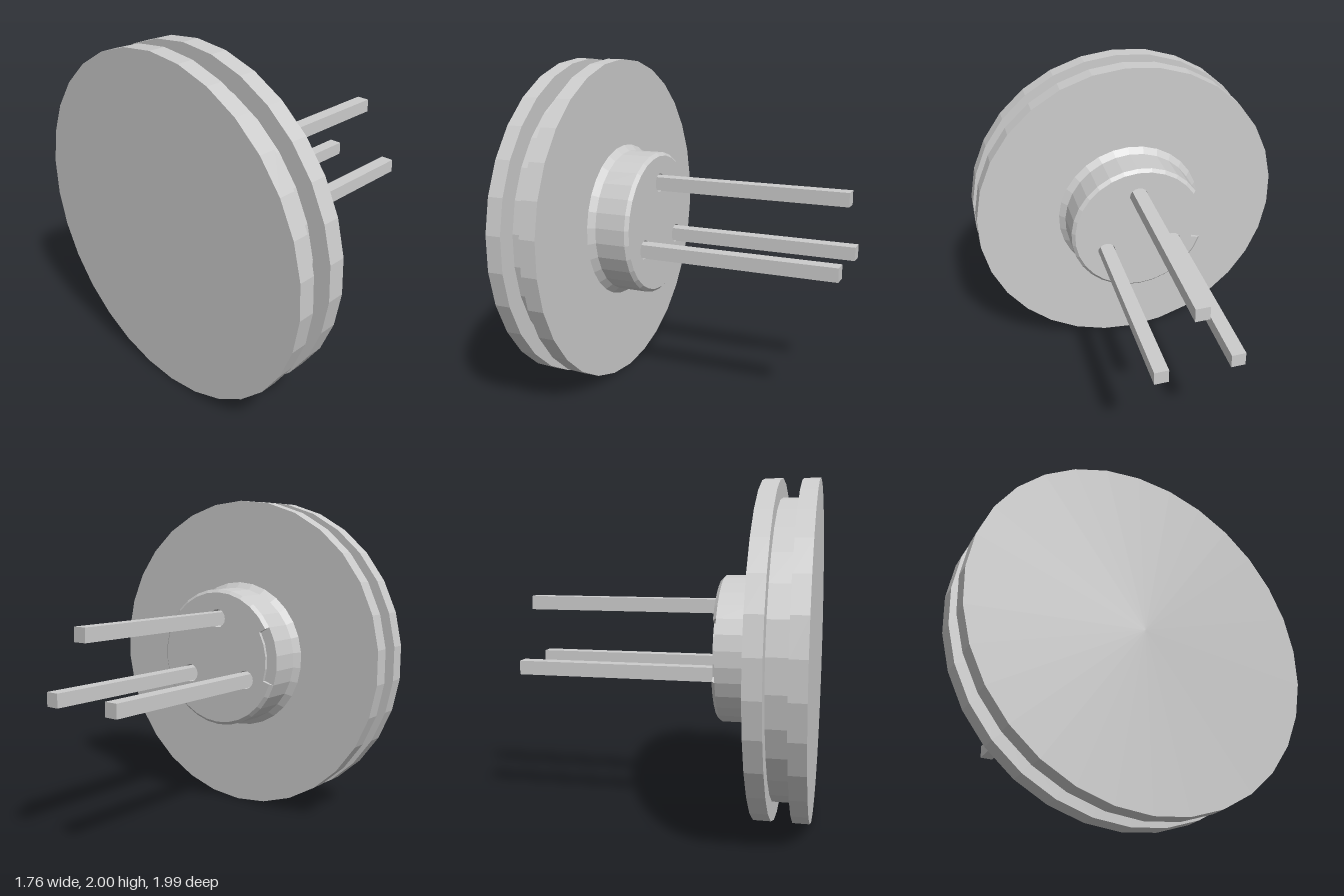
import * as THREE from 'three';

const SIDES = 30;
const STEP = (Math.PI * 2) / SIDES;
const AXIS_Y = 1;
const FACE_X = -0.325, RIM_X = -0.345, FLOOR_X = -0.4;
const KEY_R = 0.37;

const grey = new THREE.MeshStandardMaterial({ color: 0xcccccc, flatShading: true });
const greyDouble = new THREE.MeshStandardMaterial({ color: 0xcccccc, flatShading: true, side: THREE.DoubleSide });

// Pins: height above the axis, depth, end position
const PINS = [
  { y: 0.255, z: 0, end: 0.873 },
  { y: -0.12, z: 0.22, end: 0.88 },
  { y: -0.12, z: -0.22, end: 0.872 },
];

function addMesh(parent, name, geometry, material = grey) {
  const mesh = new THREE.Mesh(geometry, material);
  mesh.name = name;
  parent.add(mesh);
  return mesh;
}

// Revolves [x, radius] pairs around the x axis
function turned(profile, segments = SIDES, start = Math.PI / 2, length = Math.PI * 2) {
  const points = profile.map(([x, r]) => new THREE.Vector2(r, x));
  return new THREE.LatheGeometry(points, segments, start, length).rotateZ(-Math.PI / 2);
}

// Regular polygon outline
function polygon(radius, sides, cx = 0, cy = 0) {
  return Array.from({ length: sides }, (_, i) => {
    const a = Math.PI / 2 + (i * Math.PI * 2) / sides;
    return new THREE.Vector2(cx + radius * Math.cos(a), cy + radius * Math.sin(a));
  });
}

export function createModel() {
  const model = new THREE.Group();
  model.name = 'threePinConnector';
  const body = new THREE.Group();
  body.name = 'body';
  body.position.y = AXIS_Y;
  model.add(body);

  // Grooved disc
  addMesh(body, 'groovedDisc', turned([
    [-0.885, 0], [-0.885, 1], [-0.79, 1], [-0.79, 0.89],
    [-0.67, 0.89], [-0.67, 1], [-0.57, 1], [-0.57, 0],
  ]));

  // Hub with sloping foot, open in the middle for the pin face
  addMesh(body, 'hub', turned([
    [-0.57, 0.475], [-0.535, 0.44], [RIM_X, 0.44],
    [RIM_X, KEY_R], [FLOOR_X, KEY_R], [FLOOR_X, 0],
  ]));

  // Bevelled rim, interrupted by the key notch on the back
  const rimStart = (210 * Math.PI) / 180;
  const rimSegments = SIDES - 4;
  addMesh(body, 'bevelledRim', turned(
    [[RIM_X, 0.44], [FACE_X, 0.42], [FACE_X, KEY_R]],
    rimSegments, rimStart, rimSegments * STEP));

  // Side walls of the key notch
  for (const angle of [rimStart, rimStart + rimSegments * STEP]) {
    const wall = new THREE.Shape([
      new THREE.Vector2(RIM_X, KEY_R), new THREE.Vector2(RIM_X, 0.44),
      new THREE.Vector2(FACE_X, 0.42), new THREE.Vector2(FACE_X, KEY_R),
    ]);
    const geometry = new THREE.ShapeGeometry(wall);
    // Swing the radial direction from +y to (-sin, cos) in the y-z plane
    geometry.rotateX(Math.atan2(Math.cos(angle), -Math.sin(angle)));
    addMesh(body, 'notchWall', geometry, greyDouble);
  }

  // Pin face with a round socket for each pin
  const face = new THREE.Shape(polygon(KEY_R, SIDES));
  for (const p of PINS) face.holes.push(new THREE.Path(polygon(0.058, 16, -p.z, p.y)));
  const faceGeometry = new THREE.ExtrudeGeometry(face, { depth: FACE_X - FLOOR_X, bevelEnabled: false });
  faceGeometry.rotateY(Math.PI / 2).translate(FLOOR_X, 0, 0);
  addMesh(body, 'pinFace', faceGeometry);

  // Square pins
  for (const p of PINS) {
    const length = p.end - FLOOR_X;
    const pin = addMesh(body, 'pin', new THREE.BoxGeometry(length, 0.083, 0.083));
    pin.position.set(FLOOR_X + length / 2, p.y, p.z);
  }

  return model;
}
